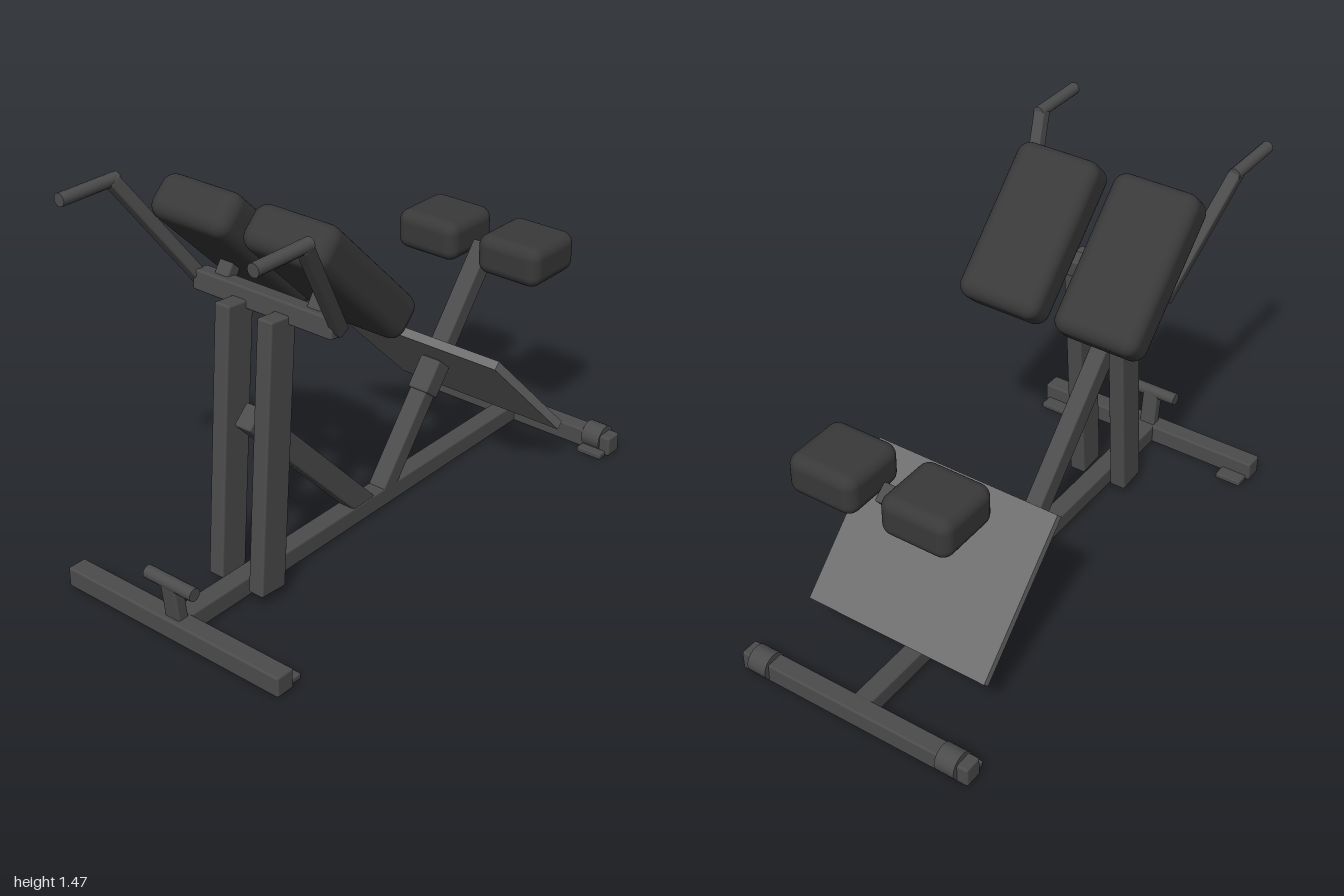
import * as THREE from 'three';
import { RoundedBoxGeometry } from 'three/addons/geometries/RoundedBoxGeometry.js';

const frameMat = new THREE.MeshStandardMaterial({ color: 0x4c4c4c });
const padMat = new THREE.MeshStandardMaterial({ color: 0x393939 });
const plateMat = new THREE.MeshStandardMaterial({ color: 0x6e6e6e });
const UP = new THREE.Vector3(0, 1, 0);

export function createModel() {
  const model = new THREE.Group();
  model.name = 'backExtensionBench';

  const add = (name, geometry, material, x, y, z) => {
    const mesh = new THREE.Mesh(geometry, material);
    mesh.name = name;
    mesh.position.set(x, y, z);
    model.add(mesh);
    return mesh;
  };
  const block = (name, w, h, d, x, y, z, r = 0.008, material = frameMat, segments = 2) =>
    add(name, new RoundedBoxGeometry(w, h, d, segments, r), material, x, y, z);

  // Lays a geometry that runs along y between two points
  const between = (name, from, to, makeGeometry) => {
    const a = new THREE.Vector3(...from), b = new THREE.Vector3(...to);
    const dir = b.clone().sub(a), mid = a.clone().add(b).multiplyScalar(0.5);
    const mesh = add(name, makeGeometry(dir.length()), frameMat, mid.x, mid.y, mid.z);
    mesh.quaternion.setFromUnitVectors(UP, dir.normalize());
    return mesh;
  };
  const tube = (name, from, to, w, d) =>
    between(name, from, to, (l) => new RoundedBoxGeometry(w, l, d, 2, 0.008));
  const rod = (name, from, to, r, sides = 16) =>
    between(name, from, to, (l) => new THREE.CylinderGeometry(r, r, l, sides));

  // Base: spine with a cross beam at each end
  block('baseSpine', 0.074, 0.074, 1.86, 0, 0.042, 0.01);
  block('frontCrossBeam', 0.96, 0.076, 0.075, 0, 0.042, 0.962);
  block('rearCrossBeam', 0.96, 0.076, 0.072, 0, 0.042, -0.943);

  // Foot peg bar on the front beam
  tube('pegPost', [0, 0.07, 0.957], [0, 0.22, 0.975], 0.066, 0.045);
  rod('pegBar', [-0.106, 0.215, 0.975], [0.106, 0.215, 0.975], 0.024);

  // Struts rising from the spine
  tube('frontStrut', [0, 0.04, 0.0], [0, 0.665, 0.592], 0.07, 0.088);
  tube('rearStrut', [0, 0.04, -0.09], [0, 0.832, -0.72], 0.074, 0.07);
  tube('plateCollar', [0, 0.36, -0.344], [0, 0.46, -0.424], 0.088, 0.084);

  // Slanted foot plate
  const plate = add('footPlate', new THREE.BoxGeometry(0.744, 0.61, 0.034), plateMat, 0, 0.403, -0.503);
  plate.rotation.x = Math.PI / 4;

  // Beam behind the tops of the uprights
  const beam = block('topBeam', 0.6, 0.072, 0.066, 0, 1.043, 0.485);
  beam.rotation.x = -0.12;

  for (const s of [1, -1]) {
    const side = s > 0 ? 'left' : 'right';

    tube(side + 'Upright', [s * 0.092, 0.042, 0.622], [s * 0.092, 1.043, 0.541], 0.064, 0.118);

    // Hip pad with its mount
    const pad = block(side + 'HipPad', 0.335, 0.6, 0.16, s * 0.2, 1.173, 0.4, 0.05, padMat, 5);
    pad.rotation.x = Math.PI / 4;
    tube(side + 'PadMount', [s * 0.2, 1.04, 0.485], [s * 0.2, 1.115, 0.435], 0.06, 0.05);

    // Calf pad
    block(side + 'CalfPad', 0.27, 0.155, 0.265, s * 0.185, 0.855, -0.712, 0.045, padMat, 5);

    // Handle: slanted bar and forward grip
    tube(side + 'HandleBar', [s * 0.298, 1.03, 0.475], [s * 0.402, 1.445, 0.755], 0.046, 0.046);
    rod(side + 'HandleGrip', [s * 0.402, 1.443, 0.73], [s * 0.402, 1.443, 0.97], 0.023, 12);

    // Rubber feet and rear rollers
    block(side + 'FrontFoot', 0.105, 0.022, 0.115, s * 0.412, 0.011, 0.93, 0.005);
    block(side + 'RearFoot', 0.105, 0.022, 0.1, s * 0.412, 0.011, -0.92, 0.005);
    rod(side + 'Roller', [s * 0.36, 0.053, -0.948], [s * 0.438, 0.053, -0.948], 0.051, 20);
  }
  return model;
}
